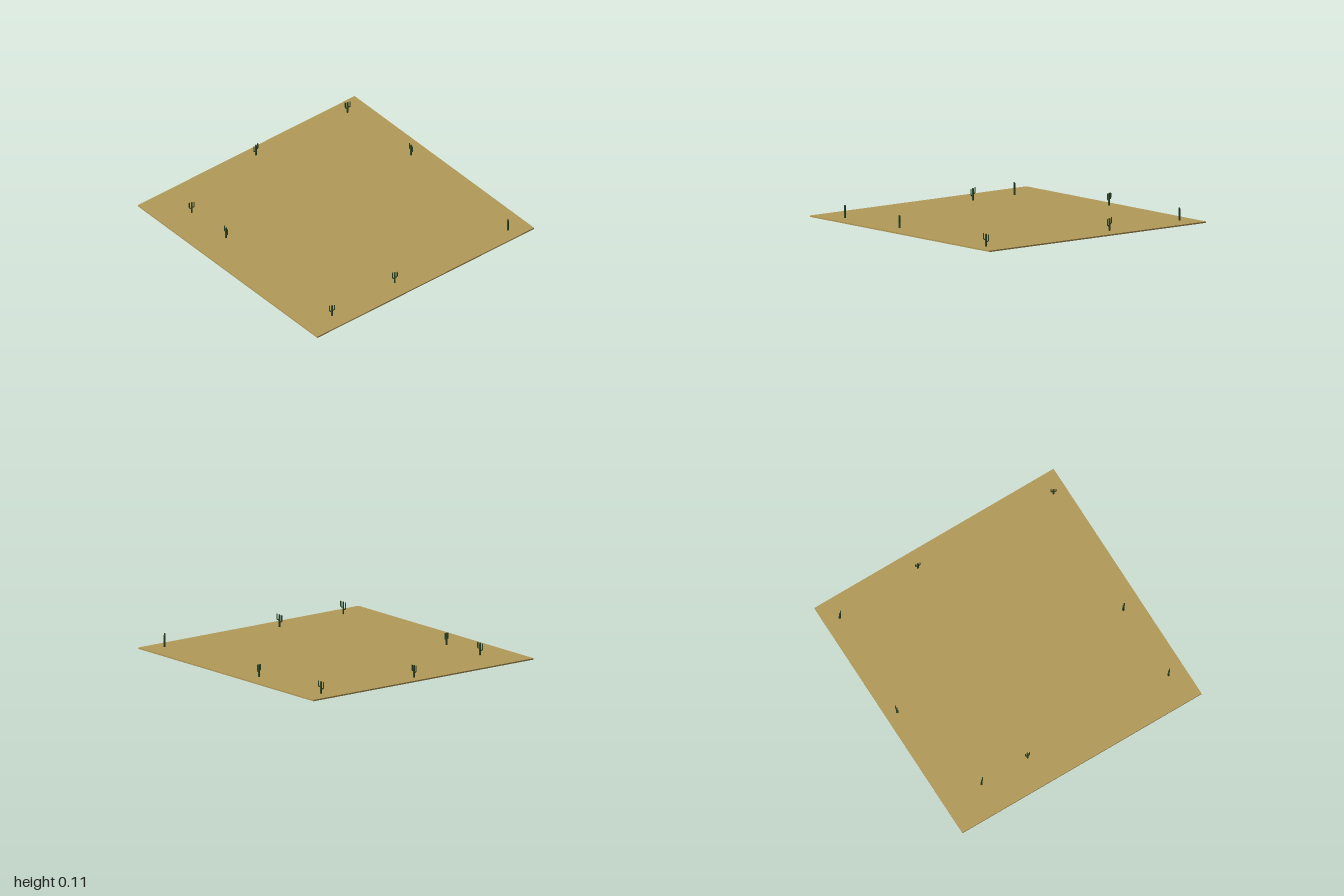
import * as THREE from 'three';

const sand = new THREE.MeshStandardMaterial({ color: 0xb39a58 });
const green = new THREE.MeshStandardMaterial({ color: 0x2f4a2a, flatShading: true });

const GROUND = 0.01;

function part(name, geometry, parent) {
  const mesh = new THREE.Mesh(geometry, green);
  mesh.name = name;
  parent.add(mesh);
  return mesh;
}

// Upright stem with a rounded top, as a lathe profile
function stem(radius, bottom, top) {
  const profile = [
    [0, bottom], [radius, bottom], [radius, top - radius],
    [radius * 0.7, top - radius * 0.3], [0, top],
  ].map(([r, y]) => new THREE.Vector2(r, y));
  return new THREE.LatheGeometry(profile, 8);
}

// Arm leaving the trunk sideways, bending up and ending in a rounded tip
function addArm(name, side, elbowY, topY, parent) {
  const arm = new THREE.Group();
  arm.name = name;
  const reach = 0.0175 * side, radius = 0.0042, bend = elbowY + 0.009;
  const path = new THREE.QuadraticBezierCurve3(
    new THREE.Vector3(0.003 * side, elbowY, 0),
    new THREE.Vector3(reach, elbowY, 0),
    new THREE.Vector3(reach, bend, 0),
  );
  part('armElbow', new THREE.TubeGeometry(path, 6, radius, 8), arm);
  part('armTip', stem(radius, bend - 0.001, topY), arm).position.x = reach;
  parent.add(arm);
}

function createCactus() {
  const cactus = new THREE.Group();
  cactus.name = 'cactus';
  part('trunk', stem(0.0068, 0, 0.092), cactus);
  addArm('tallArm', -1, 0.05, 0.097, cactus);
  addArm('lowArm', 1, 0.035, 0.085, cactus);
  return cactus;
}

export function createModel() {
  const model = new THREE.Group();
  model.name = 'desert';

  // Flat sand slab
  const ground = new THREE.Mesh(new THREE.BoxGeometry(2, GROUND, 2), sand);
  ground.name = 'ground';
  ground.position.y = GROUND / 2;
  model.add(ground);

  // Cacti scattered near the edges: x, z, turn in degrees
  const spots = [
    [-0.885, -0.84, 220], [-0.215, -0.87, 0], [0.9, -0.84, 140], [-0.917, -0.02, -90],
    [0.86, 0.17, 220], [-0.69, 0.76, 220], [-0.307, 0.76, 0], [0.873, 0.76, 220],
  ];
  for (const [x, z, turn] of spots) {
    const cactus = createCactus();
    cactus.position.set(x, GROUND, z);
    cactus.rotation.y = THREE.MathUtils.degToRad(turn);
    model.add(cactus);
  }
  return model;
}
